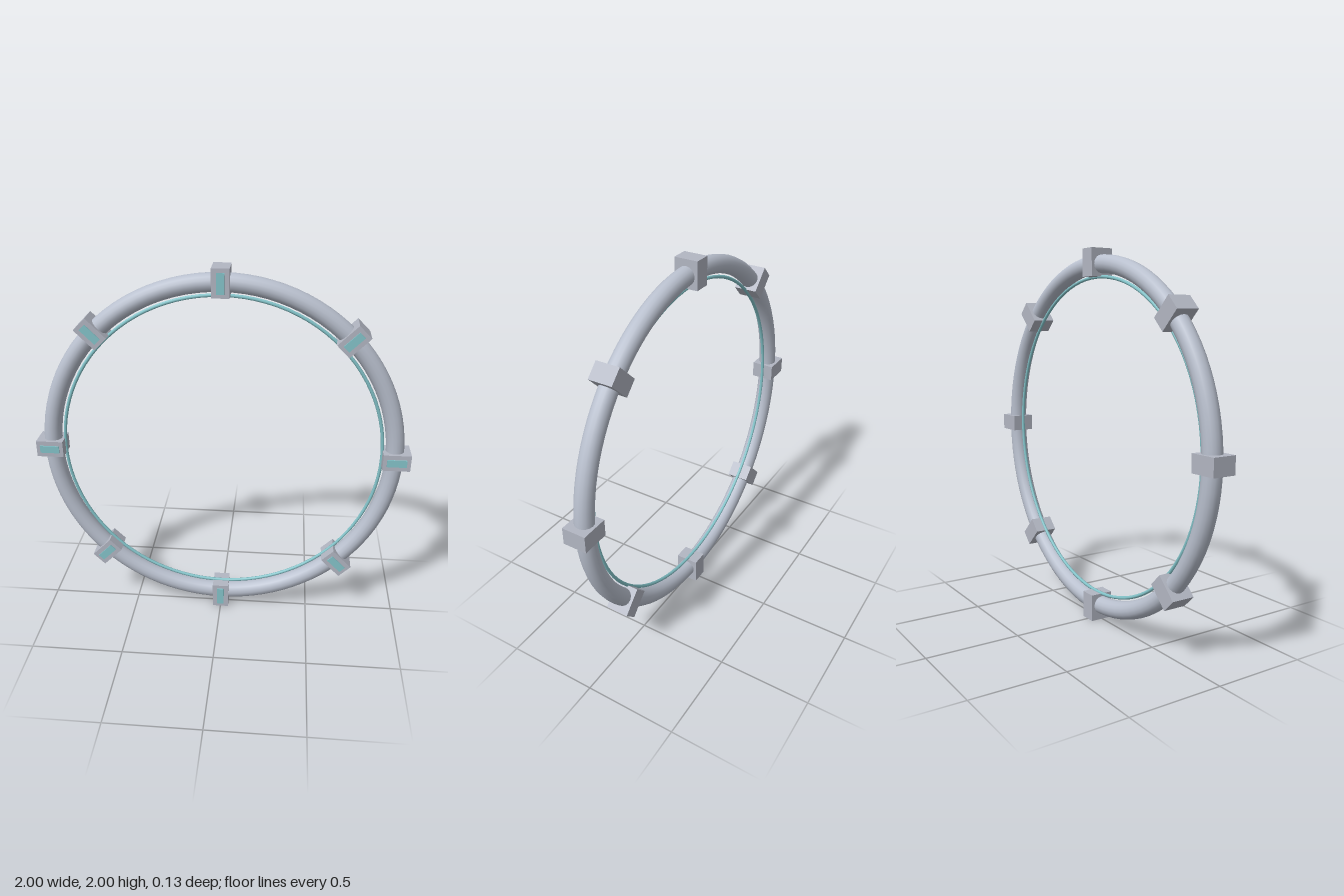
import * as THREE from 'three';

export function createModel() {
  const model = new THREE.Group();
  model.name = 'ringStation';

  const material = (name, color) => {
    const m = new THREE.MeshStandardMaterial({ color });
    m.name = name;
    return m;
  };
  const hull = material('paleSteel', 0xb9c0ce);
  const clampGrey = material('clampGrey', 0xb2b6c2);
  const teal = material('tealGlow', 0x84c4ca);

  const add = (parent, name, geometry, mat, x = 0, y = 0, z = 0) => {
    const mesh = new THREE.Mesh(geometry, mat);
    mesh.name = name;
    mesh.position.set(x, y, z);
    parent.add(mesh);
    return mesh;
  };

  // Main tube and the thin light ring just inside it
  const midZ = -0.003;
  add(model, 'mainRing', new THREE.TorusGeometry(0.92, 0.048, 16, 96), hull, 0, 1, midZ);
  add(model, 'innerLightRing', new THREE.TorusGeometry(0.855, 0.009, 8, 96), teal, 0, 1, midZ);

  // Eight clamps around the ring, each with a light panel on its front
  const clampBox = new THREE.BoxGeometry(0.145, 0.09, 0.126);
  const panelBox = new THREE.BoxGeometry(0.104, 0.04, 0.008);
  for (let i = 0; i < 8; i++) {
    const clamp = new THREE.Group();
    clamp.name = 'clamp' + (i + 1);
    clamp.position.set(0, 1, midZ);
    clamp.rotation.z = (i * Math.PI) / 4;
    add(clamp, 'clampBlock', clampBox, clampGrey, 0.9275);
    add(clamp, 'lightPanel', panelBox, teal, 0.9275, 0, 0.065);
    model.add(clamp);
  }
  return model;
}
